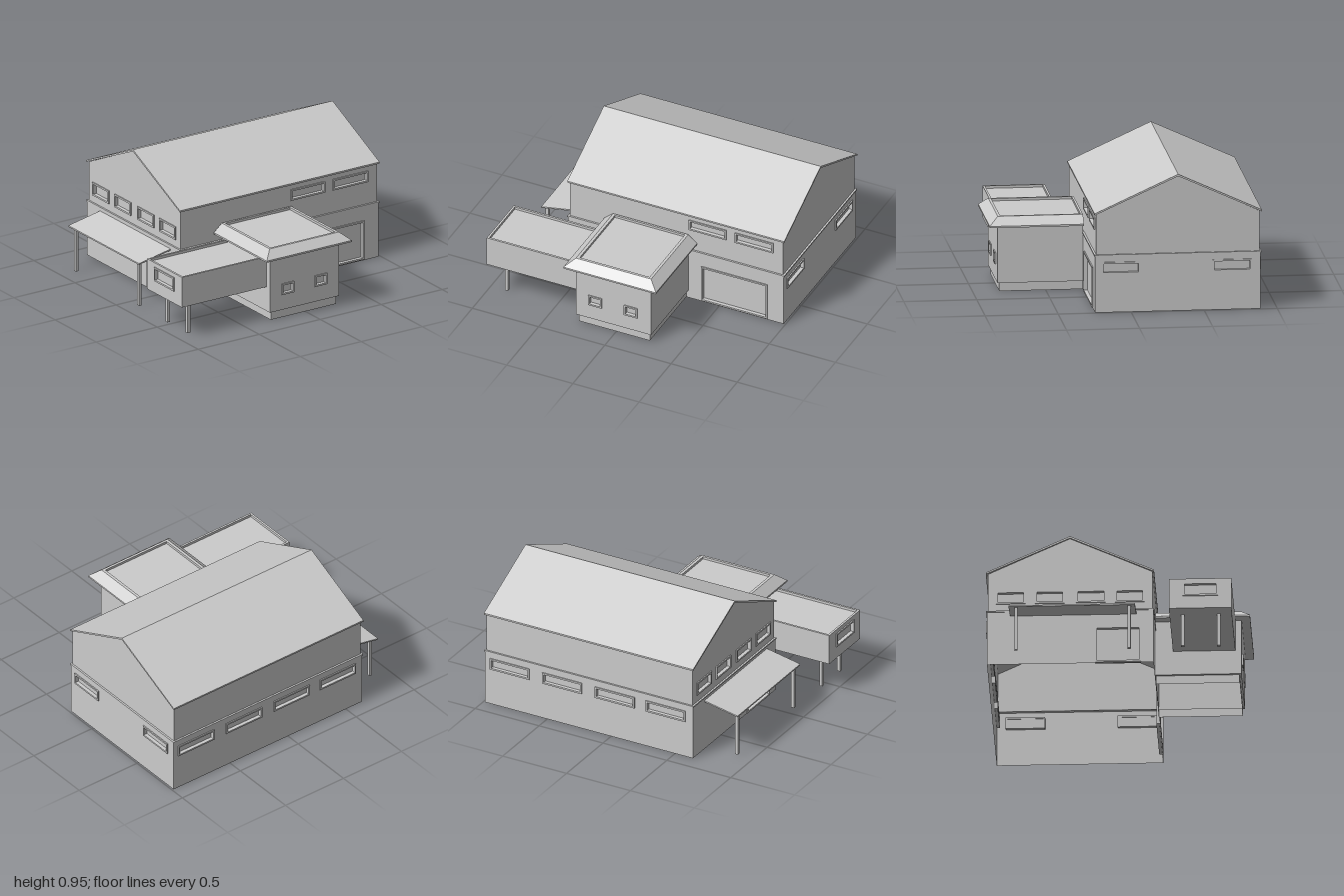
import * as THREE from 'three';

const plaster = new THREE.MeshStandardMaterial({ color: 0xcccccc, side: THREE.DoubleSide });
plaster.name = 'pale grey';

function add(parent, name, geometry) {
  const mesh = new THREE.Mesh(geometry, plaster);
  mesh.name = name;
  parent.add(mesh);
  return mesh;
}

function box(parent, name, x0, x1, y0, y1, z0, z1) {
  const mesh = add(parent, name, new THREE.BoxGeometry(x1 - x0, y1 - y0, z1 - z0));
  mesh.position.set((x0 + x1) / 2, (y0 + y1) / 2, (z0 + z1) / 2);
  return mesh;
}

const rect = (Type, [a, b, c, d]) =>
  new Type([[a, c], [b, c], [b, d], [a, d]].map(p => new THREE.Vector2(...p)));

// Framed opening [u0, u1, v0, v1]: proud frame, deep reveal, recessed pane
function framed(parent, name, [a, b, c, d]) {
  const t = 0.012;
  const shape = rect(THREE.Shape, [a, b, c, d]);
  shape.holes.push(rect(THREE.Path, [a + t, b - t, c + t, d - t]));
  const frame = add(parent, name + 'Frame', new THREE.ExtrudeGeometry(shape, { depth: 0.03, bevelEnabled: false }));
  frame.position.z = -0.022;
  const pane = add(parent, name + 'Pane', new THREE.PlaneGeometry(b - a, d - c));
  pane.position.set((a + b) / 2, (c + d) / 2, -0.018);
}

// Wall in its own plane: u along the wall, v up, facing outward
const FACING = { front: 0, back: Math.PI, right: -Math.PI / 2, left: Math.PI / 2 };
function wall(parent, name, side, offset, outline, openings = [], label = 'window') {
  const group = new THREE.Group();
  group.name = name;
  const shape = new THREE.Shape(outline.map(p => new THREE.Vector2(...p)));
  openings.forEach(o => {
    shape.holes.push(rect(THREE.Path, o));
    framed(group, label, o);
  });
  add(group, name + 'Surface', new THREE.ShapeGeometry(shape));
  group.rotation.y = FACING[side];
  if (side === 'front' || side === 'back') group.position.z = offset;
  else group.position.x = offset;
  parent.add(group);
}
const panel = (a, b, c, d) => [[a, c], [b, c], [b, d], [a, d]];

// Skin through rectangular rings [x0, x1, z0, z1, y], with an optional lid
function loft(rings, lid = true) {
  const pos = [];
  const loops = rings.map(([a, b, c, d, y]) => [[a, y, d], [b, y, d], [b, y, c], [a, y, c]]);
  const quad = (p, q, r, s) => pos.push(...p, ...q, ...r, ...p, ...r, ...s);
  for (let k = 0; k + 1 < loops.length; k++)
    for (let i = 0; i < 4; i++) {
      const j = (i + 1) % 4;
      quad(loops[k][i], loops[k][j], loops[k + 1][j], loops[k + 1][i]);
    }
  if (lid) quad(...loops[loops.length - 1]);
  const g = new THREE.BufferGeometry();
  g.setAttribute('position', new THREE.Float32BufferAttribute(pos, 3));
  g.computeVertexNormals();
  return g;
}

function mainHall() {
  const g = new THREE.Group();
  g.name = 'mainHall';
  const X0 = -0.64, X1 = 0.987, Z0 = -0.887, Z1 = 0.246, L = 0.4;

  // Lower storey
  wall(g, 'lowerFrontWall', 'front', Z1, panel(X0, X1, 0, L), [[0.365, 0.865, 0.008, 0.29]], 'garageDoor');
  wall(g, 'lowerBackWall', 'back', Z0, panel(-X1, -X0, 0, L),
    [-0.793, -0.383, 0.03, 0.428].map(u => [u - 0.155, u + 0.155, 0.267, 0.35]));
  wall(g, 'lowerLeftWall', 'left', X1, panel(-Z1, -Z0, 0, L),
    [[-0.2, 0.063, 0.267, 0.35], [0.557, 0.825, 0.267, 0.35]]);
  wall(g, 'lowerRightWall', 'right', X0, panel(Z0, Z1, 0, L), [[-0.15, 0.16, 0.004, 0.27]], 'sideDoor');

  // Ledge between the storeys
  const e = 0.005, i = 0.008;
  const outer = y => [X0 - e, X1 + e, Z0 - e, Z1 + e, y];
  const inner = y => [X0 + i, X1 - i, Z0 + i, Z1 - i, y];
  add(g, 'ledge', loft([inner(0.392), outer(0.392), outer(0.402), inner(0.402)], false));

  // Upper storey with gables
  const x0 = X0 + i, x1 = X1 - i, z0 = Z0 + i, z1 = Z1 - i, ridge = -0.322, E = 0.682, R = 0.94;
  wall(g, 'upperFrontWall', 'front', z1, panel(x0, x1, L, E),
    [[0.268, 0.55, 0.562, 0.642], [0.615, 0.905, 0.562, 0.642]]);
  wall(g, 'upperBackWall', 'back', z0, panel(-x1, -x0, L, E));
  wall(g, 'leftGable', 'left', x1, [[-z1, L], [-z0, L], [-z0, E], [-ridge, R], [-z1, E]]);
  wall(g, 'rightGable', 'right', x0, [[z0, L], [z1, L], [z1, E], [ridge, R], [z0, E]],
    [-0.725, -0.46, -0.18, 0.085].map(u => [u - 0.1, u + 0.1, 0.455, 0.55]));

  // Thin pitched roof
  const chevron = new THREE.Shape([[-0.25, 0.678], [0.322, 0.938], [0.895, 0.678], [0.895, 0.69],
    [0.322, 0.952], [-0.25, 0.69]].map(p => new THREE.Vector2(...p)));
  const roof = add(g, 'pitchedRoof', new THREE.ExtrudeGeometry(chevron, { depth: 1.637, bevelEnabled: false }));
  roof.rotation.y = Math.PI / 2;
  roof.position.x = -0.645;
  return g;
}

function entranceBlock() {
  const g = new THREE.Group();
  g.name = 'entranceBlock';
  const x0 = -0.3, x1 = 0.268, zb = 0.247, zf = 0.832;
  wall(g, 'entranceFrontWall', 'front', zf, panel(x0, x1, 0.06, 0.458),
    [[-0.205, -0.102, 0.17, 0.25], [0.065, 0.167, 0.17, 0.25]]);
  wall(g, 'entranceLeftWall', 'left', x1, panel(-zf, -zb, 0.06, 0.458));
  wall(g, 'entranceRightWall', 'right', x0, panel(zb, zf, 0.06, 0.458));
  // Recessed plinth, open underneath
  add(g, 'plinth', loft([[-0.283, 0.252, zb, 0.818, 0], [-0.283, 0.252, zb, 0.818, 0.06], [x0, x1, zb, zf, 0.06]], false));
  // Sloped eaves and sunken flat roof
  add(g, 'entranceRoof', loft([
    [x0, x1, zb, zf, 0.458], [-0.365, 0.333, zb, 0.892, 0.458], [-0.365, 0.333, zb, 0.892, 0.47],
    [x0, x1, zb, 0.83, 0.525], [-0.28, 0.248, 0.262, 0.812, 0.525], [-0.28, 0.248, 0.262, 0.812, 0.508]]));
  return g;
}

function raisedWing() {
  const g = new THREE.Group();
  g.name = 'raisedWing';
  const x0 = -0.993, x1 = -0.3, z0 = 0.365, z1 = 0.79, y0 = 0.235, y1 = 0.455;
  wall(g, 'wingFrontWall', 'front', z1, panel(x0, x1, y0, y1));
  wall(g, 'wingBackWall', 'back', z0, panel(-x1, -x0, y0, y1));
  wall(g, 'wingEndWall', 'right', x0, panel(z0, z1, y0, y1), [[0.46, 0.7, 0.325, 0.425]]);
  const floor = add(g, 'wingFloor', new THREE.PlaneGeometry(x1 - x0, z1 - z0));
  floor.rotation.x = Math.PI / 2;
  floor.position.set((x0 + x1) / 2, y0, (z0 + z1) / 2);
  // Parapet and sunken roof
  const inner = y => [x0 + 0.015, x1, z0 + 0.015, z1 - 0.015, y];
  add(g, 'wingRoof', loft([[x0, x1, z0, z1, y1], inner(y1), inner(y1 - 0.018)]));
  for (const z of [0.455, 0.7]) box(g, 'wingPost', -0.893, -0.87, 0, y0, z - 0.011, z + 0.011);
  return g;
}

function canopy() {
  const g = new THREE.Group();
  g.name = 'sideCanopy';
  // Sloping slab
  const slab = new THREE.Shape([[-0.9, 0.312], [-0.64, 0.362], [-0.64, 0.372], [-0.9, 0.322]]
    .map(p => new THREE.Vector2(...p)));
  const roof = add(g, 'canopyRoof', new THREE.ExtrudeGeometry(slab, { depth: 0.86, bevelEnabled: false }));
  roof.position.z = -0.73;
  for (const z of [-0.68, 0.09]) box(g, 'canopyPost', -0.88, -0.858, 0, 0.317, z - 0.011, z + 0.011);
  return g;
}

export function createModel() {
  const model = new THREE.Group();
  model.name = 'building';
  model.add(mainHall(), entranceBlock(), raisedWing(), canopy());
  return model;
}
